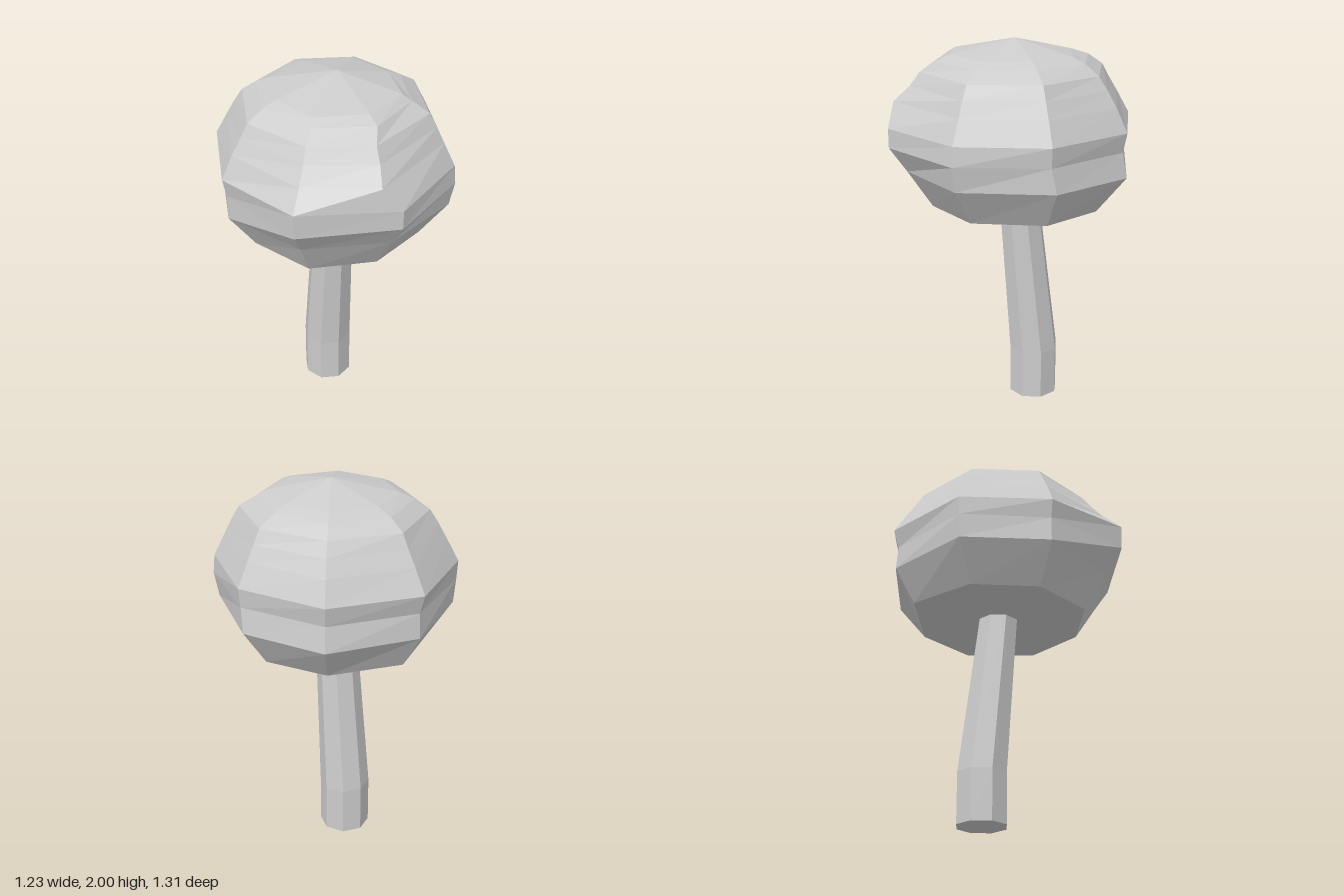
import * as THREE from 'three';

const SIDES = 8;

// Skin a stack of rings (each 8 points, bottom to top), closed by a point at each end.
function loft(name, rings, bottom, top) {
  const pos = [];
  const tri = (...pts) => pts.forEach((p) => pos.push(p.x, p.y, p.z));
  const first = rings[0], last = rings[rings.length - 1];
  for (let c = 0; c < SIDES; c++) {
    const n = (c + 1) % SIDES;
    tri(bottom, first[c], first[n]);
    for (let r = 0; r < rings.length - 1; r++) {
      const lo = rings[r], hi = rings[r + 1];
      tri(lo[c], hi[c], lo[n]);
      tri(lo[n], hi[c], hi[n]);
    }
    tri(last[c], top, last[n]);
  }
  const geo = new THREE.BufferGeometry();
  geo.setAttribute('position', new THREE.Float32BufferAttribute(pos, 3));
  geo.computeVertexNormals();
  const mesh = new THREE.Mesh(geo, new THREE.MeshStandardMaterial({ color: 0xcccccc, flatShading: true }));
  mesh.name = name;
  return mesh;
}

// Eight points round a centre; angle runs from +x towards +z.
function ring(x, y, z, radius) {
  return Array.from({ length: SIDES }, (_, c) => {
    const a = (c * Math.PI * 2) / SIDES;
    const r = radius(c);
    return new THREE.Vector3(x + r * Math.cos(a), y, z + r * Math.sin(a));
  });
}

export function createModel() {
  const group = new THREE.Group();
  group.name = 'tree';

  // Trunk: upright foot, then leaning forward into the crown
  const trunkRings = [
    [0.02, 0, -0.113, 0.135],
    [0.02, 0.27, -0.113, 0.135],
    [0.01, 1.2, -0.025, 0.108],
  ].map(([x, y, z, r]) => ring(x, y, z, () => r));
  group.add(loft('trunk', trunkRings,
    new THREE.Vector3(0.02, 0, -0.113), new THREE.Vector3(0.01, 1.2, -0.025)));

  // Crown: uneven radii per height, one for each of the eight sides
  const crownRows = [
    [1.14, [0.475, 0.46, 0.44, 0.46, 0.46, 0.48, 0.52, 0.48]],
    [1.34, [0.61, 0.605, 0.57, 0.58, 0.6, 0.62, 0.63, 0.64]],
    [1.47, [0.6, 0.63, 0.66, 0.68, 0.6, 0.63, 0.62, 0.615]],
    [1.57, [0.61, 0.62, 0.66, 0.685, 0.62, 0.635, 0.65, 0.635]],
    [1.69, [0.55, 0.56, 0.61, 0.587, 0.56, 0.57, 0.58, 0.575]],
    [1.77, [0.507, 0.52, 0.53, 0.52, 0.51, 0.525, 0.53, 0.525]],
    [1.84, [0.47, 0.48, 0.48, 0.47, 0.47, 0.48, 0.49, 0.475]],
    [1.895, [0.38, 0.39, 0.41, 0.39, 0.39, 0.4, 0.41, 0.4]],
    [1.925, [0.31, 0.34, 0.34, 0.34, 0.32, 0.33, 0.32, 0.33]],
  ];
  const crownRings = crownRows.map(([y, radii]) => ring(0, y, 0, (c) => radii[c]));

  // Dent that pulls the front ridge sideways, and small irregularities
  crownRings[4][2].x = -0.09;
  crownRings[5][2].x = -0.055;
  crownRings[6][2].x = -0.045;
  crownRings[3][3].y = 1.6;
  crownRings[0][6].y = 1.155;
  crownRings[0][0].z = crownRings[1][0].z = -0.025;

  group.add(loft('crown', crownRings,
    new THREE.Vector3(0, 1.14, 0), new THREE.Vector3(0.02, 2, 0)));
  return group;
}
